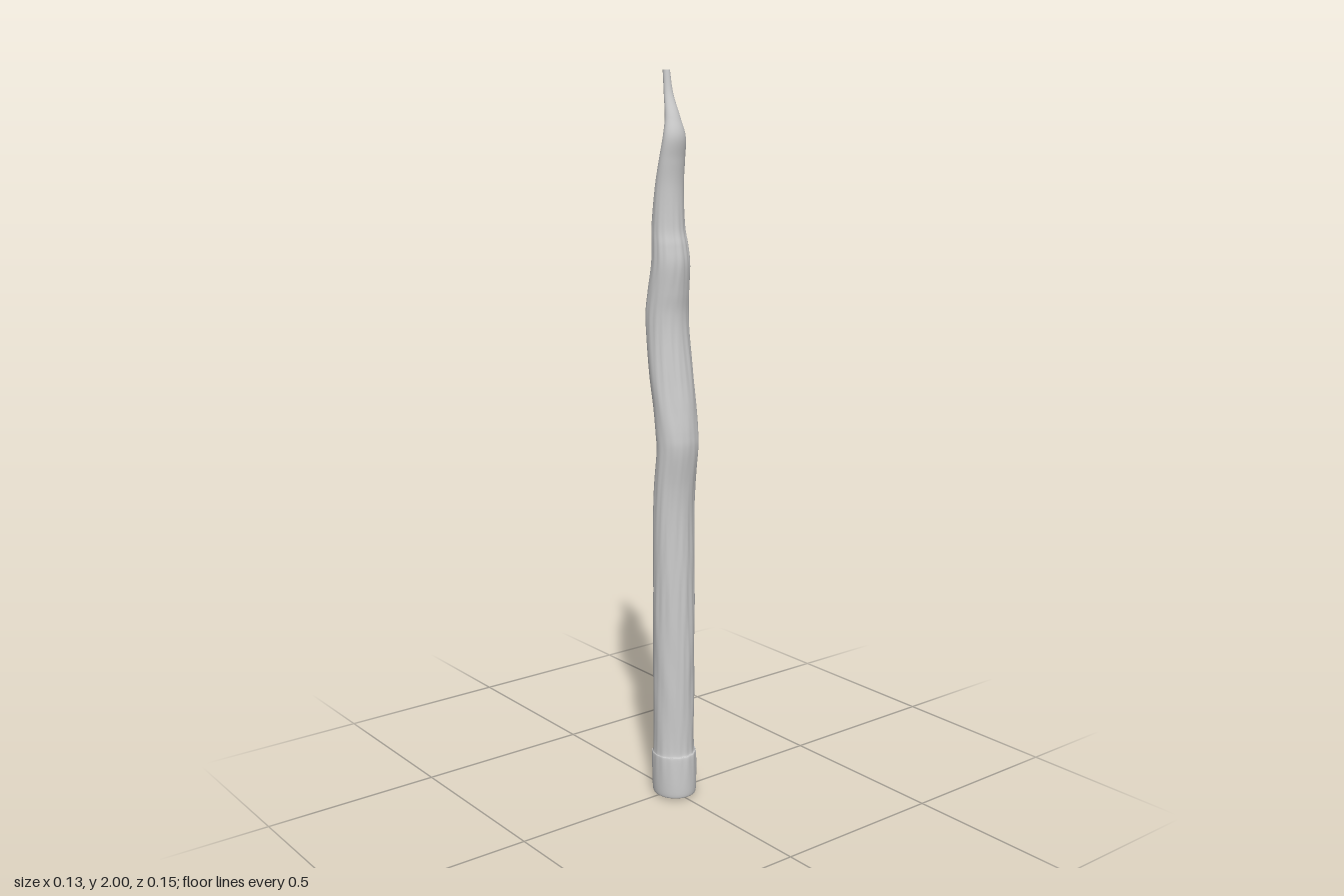
import * as THREE from 'three';

// Stations up the stick: height, front z, back z, half width
const STATIONS = [
  [0.005, 0.068, -0.046, 0.054],
  [0.02, 0.075, -0.053, 0.06],
  [0.12, 0.072, -0.053, 0.062],
  [0.145, 0.064, -0.048, 0.058],
  [0.32, 0.064, -0.048, 0.058],
  [0.5, 0.063, -0.047, 0.059],
  [0.65, 0.061, -0.045, 0.059],
  [0.8, 0.058, -0.043, 0.06],
  [0.9, 0.062, -0.038, 0.06],
  [1.0, 0.074, -0.027, 0.06],
  [1.05, 0.073, -0.03, 0.061],
  [1.12, 0.063, -0.038, 0.062],
  [1.2, 0.05, -0.054, 0.063],
  [1.3, 0.036, -0.07, 0.061],
  [1.37, 0.032, -0.075, 0.06],
  [1.43, 0.037, -0.068, 0.057],
  [1.5, 0.042, -0.055, 0.053],
  [1.55, 0.036, -0.054, 0.05],
  [1.6, 0.026, -0.057, 0.046],
  [1.7, 0.022, -0.045, 0.041],
  [1.77, 0.027, -0.028, 0.038],
  [1.83, 0.034, -0.015, 0.033],
  [1.88, 0.02, -0.015, 0.022],
  [1.94, -0.003, -0.026, 0.013],
  [2.0, -0.014, -0.034, 0.009],
];
const SIDES = 64, RINGS = 240;

// Shallow lengthwise bark ridges, mirrored left to right
function bark(angle, y) {
  const a = Math.abs(angle);
  const fade = THREE.MathUtils.smoothstep(y, 0.02, 0.15) * (1 - THREE.MathUtils.smoothstep(y, 1.5, 1.8));
  const ridge = Math.sin(a * 11 + 1.3 * Math.sin(y * 9)) * Math.sin(y * 17 + a * 5)
    + 0.6 * Math.sin(a * 17 + Math.sin(y * 13 + a * 2));
  const front = 0.6 + 0.4 * Math.cos(a);
  return 0.0013 * fade * front * ridge;
}

// Points of one closed cross-section at parameter t
function section(spine, radii, t) {
  const c = spine.getPoint(t), r = radii.getPoint(t), points = [];
  for (let j = 0; j < SIDES; j++) {
    const angle = (j / SIDES) * Math.PI * 2;
    const signed = angle > Math.PI ? angle - Math.PI * 2 : angle;
    const d = bark(signed, c.y);
    points.push(new THREE.Vector3(Math.sin(angle) * (r.x + d), c.y, c.z + Math.cos(angle) * (r.z + d)));
  }
  return points;
}

// Skin joining successive cross-sections
function loft(sections) {
  const index = [];
  for (let i = 0; i < sections.length - 1; i++) {
    for (let j = 0; j < SIDES; j++) {
      const k = (j + 1) % SIDES;
      const a = i * SIDES + j, b = i * SIDES + k;
      index.push(a, b, b + SIDES, a, b + SIDES, a + SIDES);
    }
  }
  const geometry = new THREE.BufferGeometry().setFromPoints(sections.flat());
  geometry.setIndex(index);
  geometry.computeVertexNormals();
  return geometry;
}

// Flat end closing a cross-section
function endCap(points, y, up) {
  const center = new THREE.Vector3();
  points.forEach((p) => center.addScaledVector(p, 1 / SIDES));
  center.y = y;
  const index = [];
  for (let j = 0; j < SIDES; j++) {
    const k = (j + 1) % SIDES;
    index.push(SIDES, up ? j : k, up ? k : j);
  }
  const geometry = new THREE.BufferGeometry().setFromPoints([...points, center]);
  geometry.setIndex(index);
  geometry.computeVertexNormals();
  return geometry;
}

export function createModel() {
  const group = new THREE.Group();
  group.name = 'crookedStick';
  const material = new THREE.MeshStandardMaterial({ color: 0xcccccc, roughness: 0.9 });

  const curve = (points) => new THREE.CatmullRomCurve3(points, false, 'catmullrom', 0.5);
  const spine = curve(STATIONS.map(([y, f, b]) => new THREE.Vector3(0, y, (f + b) / 2)));
  const radii = curve(STATIONS.map(([y, f, b, w]) => new THREE.Vector3(w, y, (f - b) / 2)));

  const sections = [];
  for (let i = 0; i <= RINGS; i++) sections.push(section(spine, radii, i / RINGS));

  const add = (name, geometry) => {
    const mesh = new THREE.Mesh(geometry, material);
    mesh.name = name;
    group.add(mesh);
  };
  add('shaft', loft(sections));
  add('cutBase', endCap(sections[0], 0, false));
  add('bluntTip', endCap(sections[RINGS], 2, true));
  return group;
}
